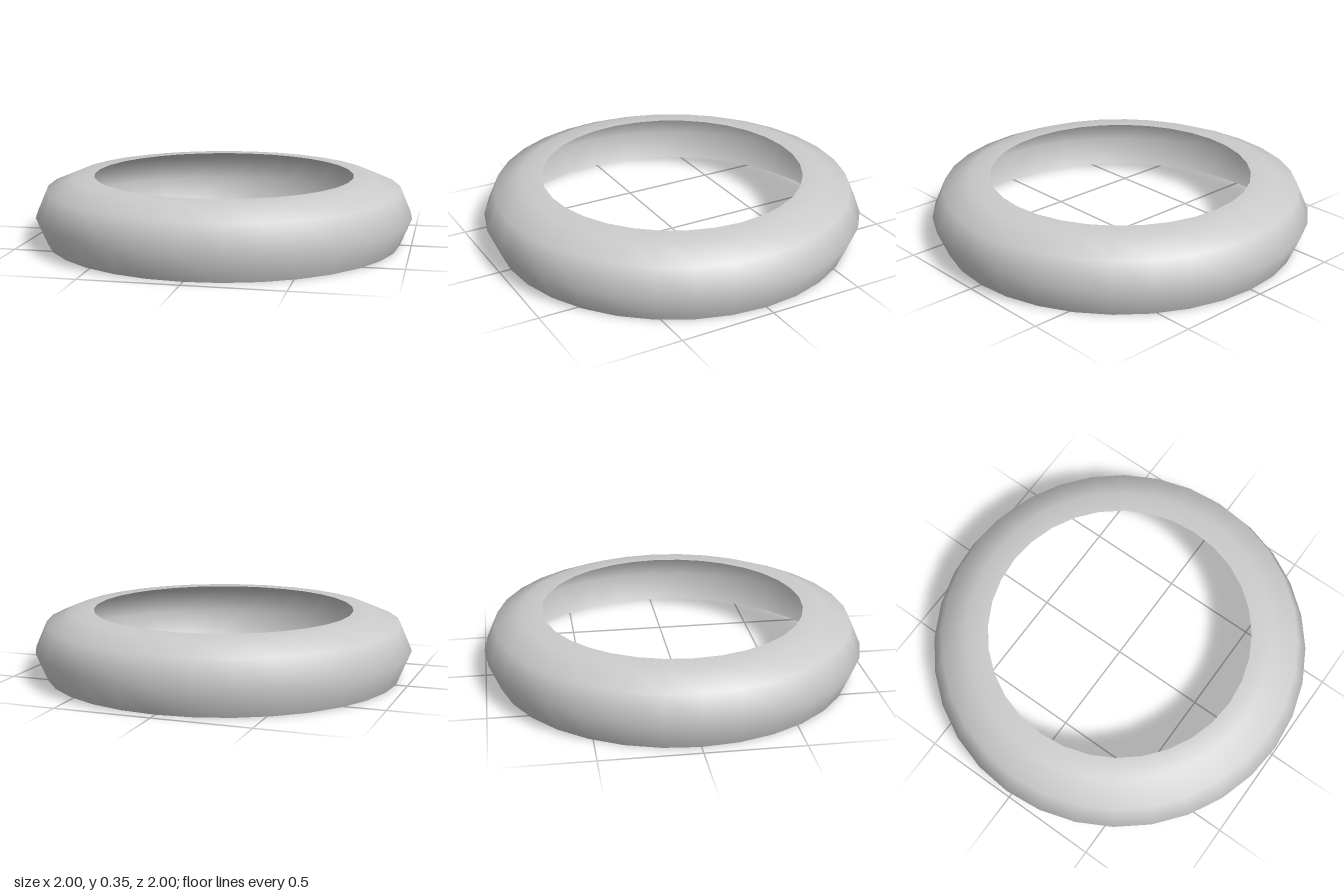
import * as THREE from 'three';

export function createModel() {
  const group = new THREE.Group();
  group.name = 'ringShell';

  // Thin open shell: cross-section from the bottom edge, over the bulge, to the inner rim
  const profile = [
    [0.94, 0], [1, 0.143], [0.94, 0.282], [0.8, 0.341], [0.69, 0.346],
  ].map(([r, y]) => new THREE.Vector2(r, y));

  const ring = new THREE.Mesh(
    new THREE.LatheGeometry(profile, 32),
    new THREE.MeshStandardMaterial({ color: 0xcccccc, side: THREE.DoubleSide })
  );
  ring.name = 'ring';
  group.add(ring);

  return group;
}
